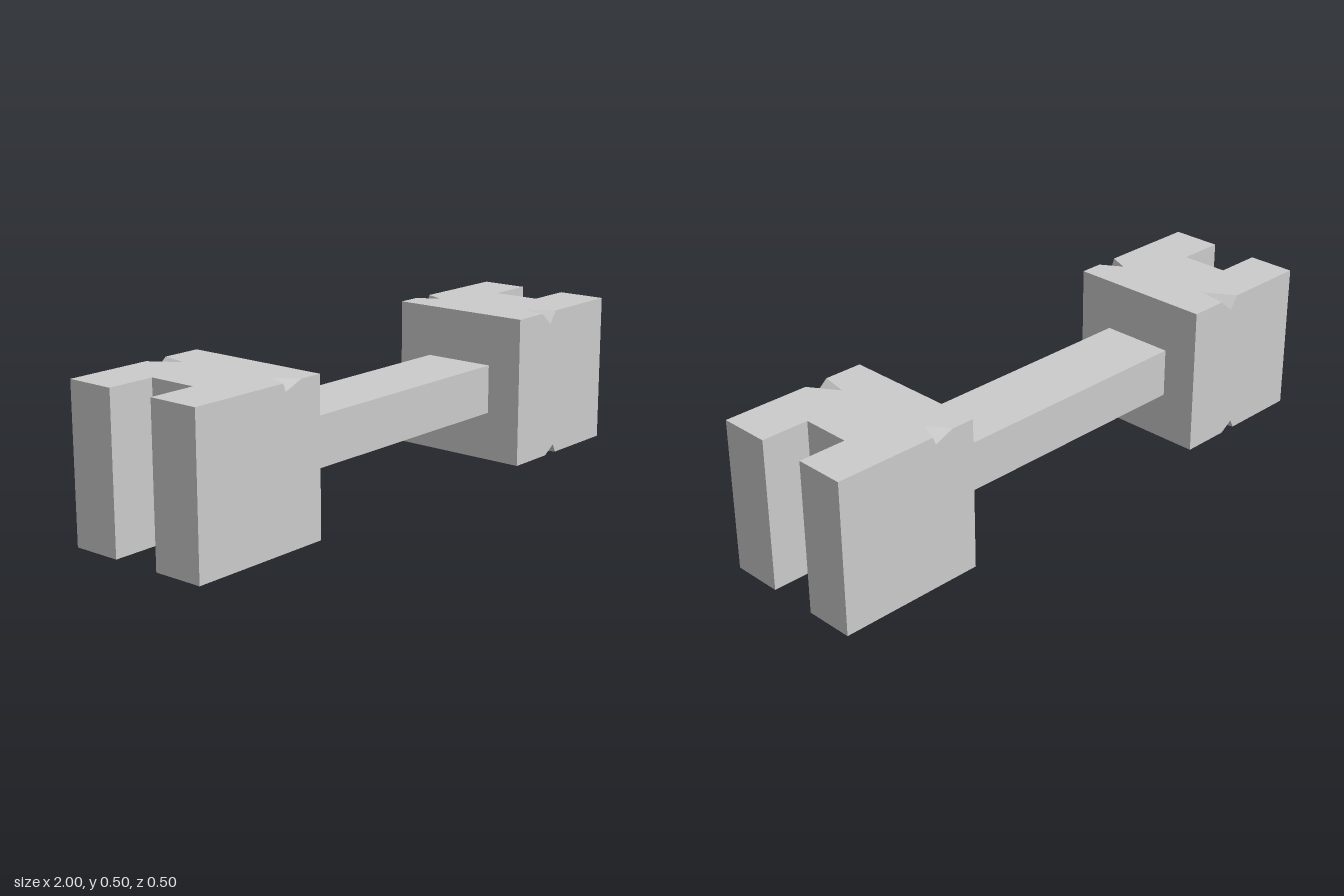
import * as THREE from 'three';

const X0 = 0.5, X1 = 1, Z = 0.25, H = 0.503;
const SLOT_X = 0.84, SLOT_HALF = 0.0825;

// Chipped edges: a, b on the edge; top = apex on the horizontal face; side = apex on the wall
const chips = {
  topFront: { a: [0.63, H, Z], b: [0.71, H, Z], flat: [0.648, H, 0.155], wall: [0.68, 0.46, Z] },
  topBack: { a: [0.58, H, -Z], b: [0.655, H, -Z], flat: [0.625, H, -0.18], wall: [0.645, 0.477, -Z] },
  bottomFront: { a: [0.67, 0, Z], b: [0.73, 0, Z], flat: [0.717, 0, 0.197], wall: [0.715, 0.03, Z] },
};
// Small three-sided pit in the underside
const pit = [[0.85, 0, -0.19], [0.7, 0, -0.22], [0.714, 0, -0.122]];
const pitApex = [0.75, 0.04, -0.16];

// Triangulates a flat polygon (with holes) and turns every triangle towards `out`
function addPolygon(out, points, facing, holes = []) {
  const dir = new THREE.Vector3(...facing);
  const axis = facing.findIndex((v) => v !== 0);
  const flat = (list) => list.map((p) => new THREE.Vector2(...p.filter((_, i) => i !== axis)));
  const all = [...points, ...holes.flat()].map((p) => new THREE.Vector3(...p));
  for (const [i, j, k] of THREE.ShapeUtils.triangulateShape(flat(points), holes.map(flat))) {
    const [a, b, c] = [all[i], all[j], all[k]];
    const normal = b.clone().sub(a).cross(c.clone().sub(a));
    const tri = normal.dot(dir) > 0 ? [a, b, c] : [a, c, b];
    tri.forEach((v) => out.push(v.x, v.y, v.z));
  }
}

function headGeometry(slotZ) {
  const out = [];
  const { topFront, topBack, bottomFront } = chips;
  const s0 = slotZ - SLOT_HALF, s1 = slotZ + SLOT_HALF;
  const flatNotch = (c) => (c ? [c.a, c.flat, c.b] : []);
  const wallNotch = (c) => (c ? [c.a, c.wall, c.b] : []);

  // H-shaped top and underside
  const cap = (y, front, back) => [
    [X0, y, Z], ...flatNotch(front), [X1, y, Z],
    [X1, y, s1], [SLOT_X, y, s1], [SLOT_X, y, s0], [X1, y, s0],
    [X1, y, -Z], ...flatNotch(back).reverse(), [X0, y, -Z],
  ];
  addPolygon(out, cap(H, topFront, topBack), [0, 1, 0]);
  addPolygon(out, cap(0, bottomFront), [0, -1, 0], [pit]);

  // Front and back walls
  const wall = (z, top, bottom) => [
    [X0, 0, z], ...wallNotch(bottom), [X1, 0, z],
    [X1, H, z], ...wallNotch(top).reverse(), [X0, H, z],
  ];
  addPolygon(out, wall(Z, topFront, bottomFront), [0, 0, 1]);
  addPolygon(out, wall(-Z, topBack), [0, 0, -1]);

  // Inner wall, outer prongs and slot walls
  const acrossX = (x, z0, z1) => [[x, 0, z0], [x, 0, z1], [x, H, z1], [x, H, z0]];
  const acrossZ = (z) => [[SLOT_X, 0, z], [X1, 0, z], [X1, H, z], [SLOT_X, H, z]];
  addPolygon(out, acrossX(X0, -Z, Z), [-1, 0, 0]);
  addPolygon(out, acrossX(X1, -Z, s0), [1, 0, 0]);
  addPolygon(out, acrossX(X1, s1, Z), [1, 0, 0]);
  addPolygon(out, acrossX(SLOT_X, s0, s1), [1, 0, 0]);
  addPolygon(out, acrossZ(s0), [0, 0, 1]);
  addPolygon(out, acrossZ(s1), [0, 0, -1]);

  // Facets inside the chips and the pit
  for (const c of Object.values(chips)) {
    addPolygon(out, [c.a, c.flat, c.wall], [1, 0, 0]);
    addPolygon(out, [c.b, c.flat, c.wall], [-1, 0, 0]);
  }
  pit.forEach((p, i) => addPolygon(out, [p, pit[(i + 1) % 3], pitApex], [0, -1, 0]));

  const geometry = new THREE.BufferGeometry();
  geometry.setAttribute('position', new THREE.Float32BufferAttribute(out, 3));
  geometry.computeVertexNormals();
  return geometry;
}

export function createModel() {
  const model = new THREE.Group();
  model.name = 'barWithSlottedHeads';
  const material = new THREE.MeshStandardMaterial({ color: 0xcccccc, flatShading: true });

  // Connecting bar
  const bar = new THREE.Mesh(new THREE.BoxGeometry(2 * X0, 0.165, 0.252), material);
  bar.name = 'bar';
  bar.position.y = 0.2475;
  model.add(bar);

  // Slotted heads, the second turned half way round
  for (const side of [1, -1]) {
    const head = new THREE.Mesh(headGeometry(-0.003 * side), material);
    head.name = side > 0 ? 'leftHead' : 'rightHead';
    head.rotation.y = side > 0 ? 0 : Math.PI;
    model.add(head);
  }
  return model;
}
